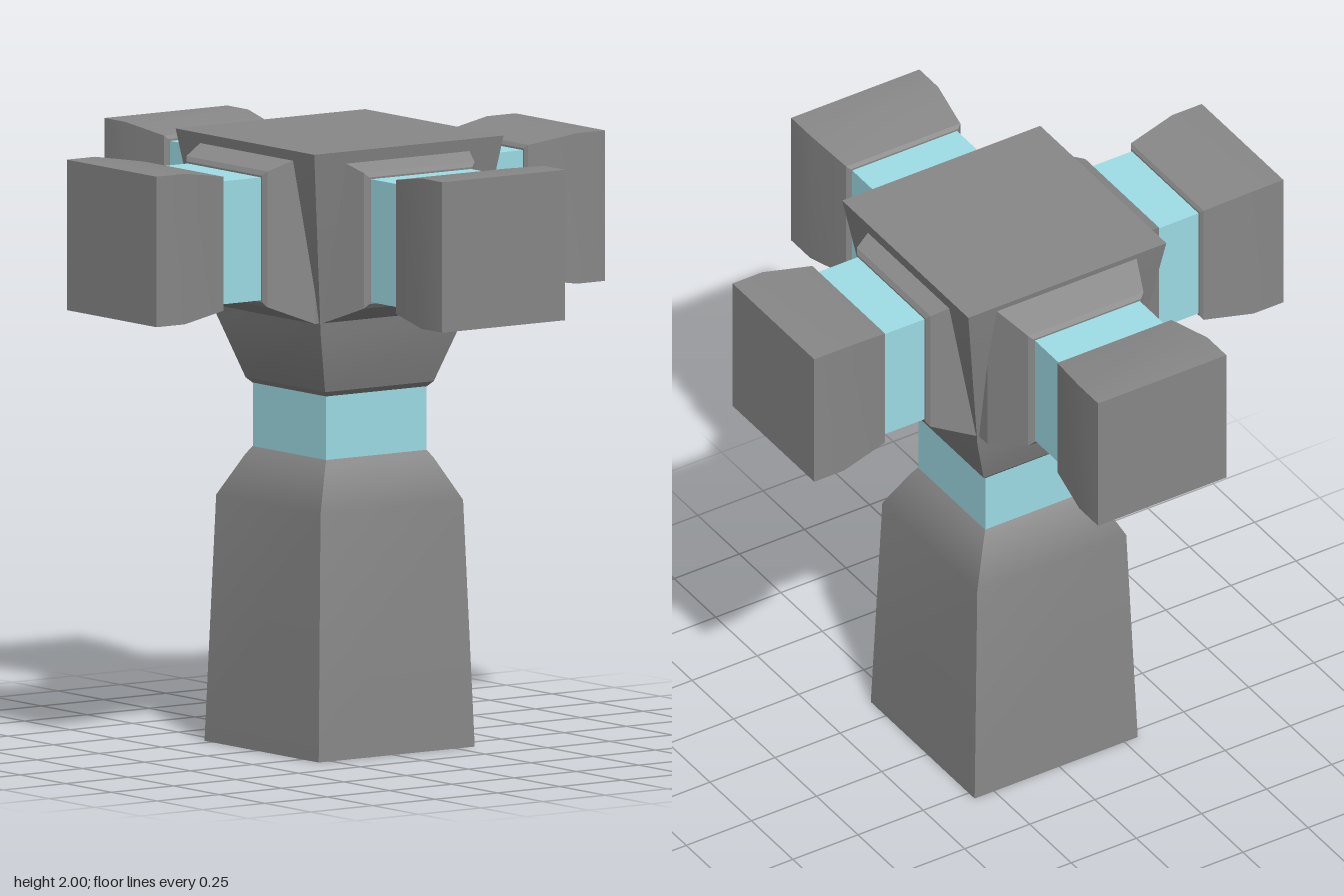
import * as THREE from 'three';
import { mergeGeometries } from 'three/addons/utils/BufferGeometryUtils.js';

const grey = new THREE.MeshStandardMaterial({ color: 0x888888 });
const cyan = new THREE.MeshStandardMaterial({ color: 0x9fdde6 });

// Square cap facing up or down at height y
function cap(half, y, up) {
  const g = new THREE.PlaneGeometry(half * 2, half * 2);
  g.rotateX(up ? -Math.PI / 2 : Math.PI / 2).translate(0, y, 0);
  g.deleteAttribute('uv');
  return g;
}

// Square loft along +y. Each section is a run of [half width, y] points
// shaded smoothly; edges between sections and at the corners stay sharp.
function squareLoft(sections) {
  const parts = [];
  for (const section of sections) {
    const pos = [], index = [];
    section.forEach(([h, y], i) => {
      pos.push(-h, y, h, h, y, h);
      if (i) {
        const a = 2 * i - 2;
        index.push(a, a + 1, a + 3, a, a + 3, a + 2);
      }
    });
    const side = new THREE.BufferGeometry();
    side.setAttribute('position', new THREE.Float32BufferAttribute(pos, 3));
    side.setIndex(index);
    side.computeVertexNormals();
    for (let k = 0; k < 4; k++) parts.push(side.clone().rotateY(k * Math.PI / 2));
  }
  const first = sections[0][0], last = sections.at(-1).at(-1);
  parts.push(cap(first[0], first[1], false), cap(last[0], last[1], true));
  return mergeGeometries(parts);
}

function add(parent, name, geometry, material) {
  const mesh = new THREE.Mesh(geometry, material);
  mesh.name = name;
  parent.add(mesh);
  return mesh;
}

// One arm, running outward along local +y
function makeArm(name) {
  const arm = new THREE.Group();
  arm.name = name;
  add(arm, 'armSocket', squareLoft([
    [[0.282, 0.1], [0.282, 0.295]],
    [[0.282, 0.295], [0.222, 0.442]],
    [[0.222, 0.442], [0.207, 0.452]],
  ]), grey);
  add(arm, 'armBand', new THREE.BoxGeometry(0.402, 0.18, 0.402), cyan).position.y = 0.53;
  add(arm, 'armBlock', squareLoft([
    [[0.207, 0.607], [0.219, 0.615]],
    [[0.219, 0.615], [0.246, 0.79], [0.246, 0.904]],
  ]), grey);
  return arm;
}

export function createModel() {
  const model = new THREE.Group();
  model.name = 'fourArmedPost';

  // Central column
  const column = new THREE.Group();
  column.name = 'column';
  column.position.set(0.012, 0, 0.027);
  model.add(column);
  add(column, 'base', squareLoft([
    [[0.313, 0], [0.286, 0.806], [0.219, 0.94], [0.202, 0.967]],
  ]), grey);
  add(column, 'neckBand', new THREE.BoxGeometry(0.402, 0.23, 0.402), cyan).position.y = 1.07;
  add(column, 'head', squareLoft([
    [[0.202, 1.175], [0.218, 1.192]],
    [[0.218, 1.192], [0.285, 1.395], [0.38, 2]],
  ]), grey);

  // Four arms: name, turn about y, x and z of the hub
  const arms = [
    ['frontArm', 0, 0.012, 0.021],
    ['leftArm', 1, 0, 0.018],
    ['backArm', 2, 0.012, -0.021],
    ['rightArm', 3, 0, 0.029],
  ];
  for (const [name, turn, x, z] of arms) {
    const arm = makeArm(name);
    arm.rotation.set(Math.PI / 2, turn * Math.PI / 2, 0, 'YXZ');
    arm.position.set(x, 1.712, z);
    model.add(arm);
  }
  return model;
}
